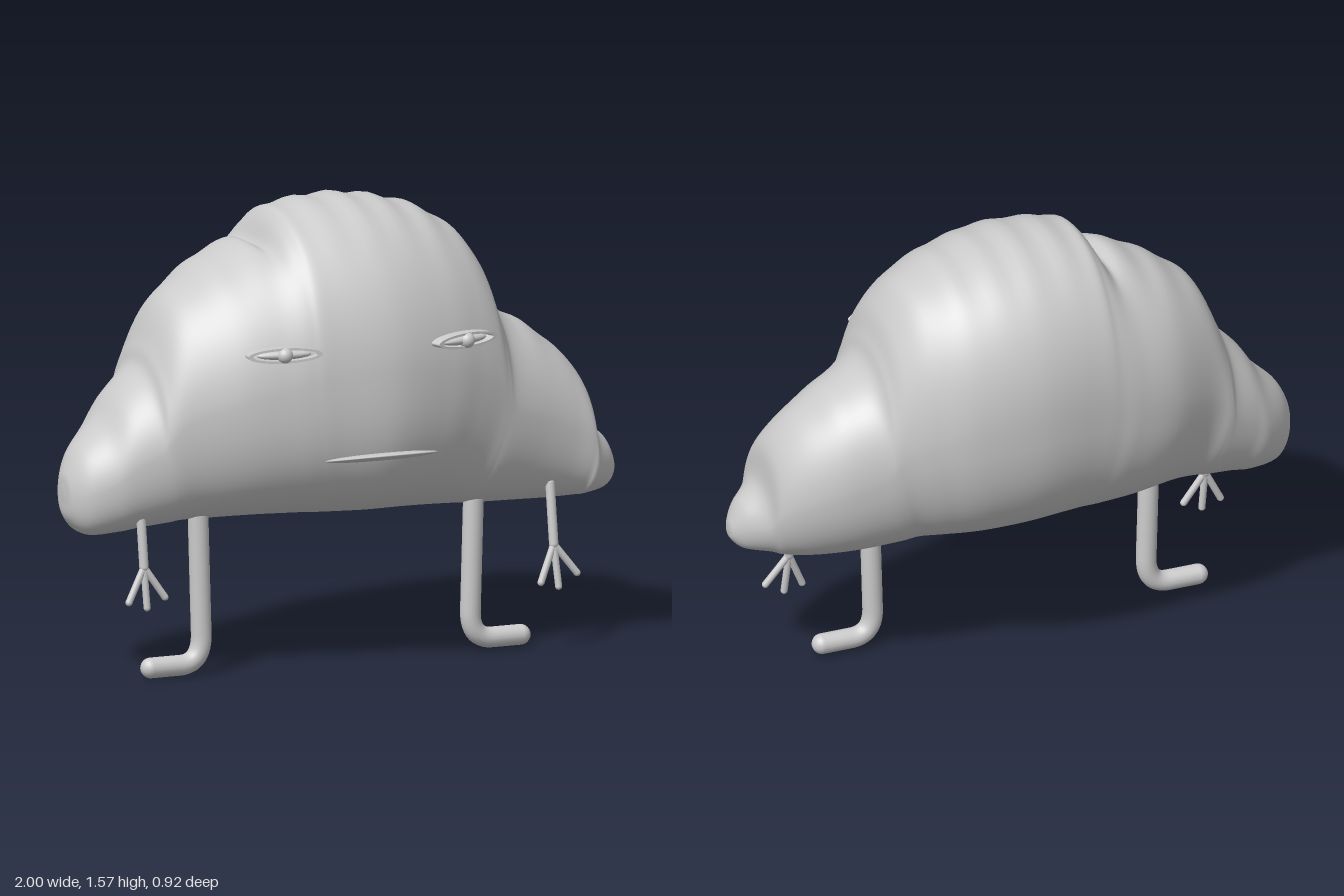
import * as THREE from 'three';

const material = new THREE.MeshStandardMaterial({ color: 0xcccccc });

function add(parent, name, geometry, position = [0, 0, 0]) {
  const mesh = new THREE.Mesh(geometry, material);
  mesh.name = name;
  mesh.position.set(...position);
  parent.add(mesh);
  return mesh;
}

// Body stations along x: x, top, bottom, front z, back z
const stations = [
  [-1.0, 0.67, 0.63, 0.01, -0.02], [-0.992, 0.72, 0.56, 0.06, -0.06],
  [-0.95, 0.80, 0.505, 0.115, -0.125], [-0.87, 0.88, 0.505, 0.16, -0.19],
  [-0.81, 0.97, 0.515, 0.185, -0.215], [-0.73, 1.05, 0.525, 0.215, -0.245],
  [-0.70, 1.13, 0.53, 0.23, -0.26], [-0.63, 1.27, 0.53, 0.255, -0.285],
  [-0.47, 1.39, 0.53, 0.325, -0.375], [-0.32, 1.46, 0.527, 0.362, -0.412],
  [-0.24, 1.52, 0.525, 0.378, -0.423],
  [-0.17, 1.56, 0.522, 0.388, -0.433], [0.06, 1.575, 0.517, 0.408, -0.458],
  [0.28, 1.53, 0.513, 0.365, -0.43], [0.41, 1.46, 0.51, 0.32, -0.37],
  [0.49, 1.37, 0.508, 0.29, -0.32], [0.53, 1.26, 0.506, 0.275, -0.302],
  [0.57, 1.17, 0.503, 0.262, -0.288], [0.70, 1.09, 0.497, 0.225, -0.255],
  [0.81, 1.0, 0.495, 0.2, -0.2], [0.88, 0.90, 0.5, 0.19, -0.14],
  [0.905, 0.76, 0.505, 0.18, -0.085], [0.965, 0.69, 0.52, 0.13, -0.02],
  [0.994, 0.63, 0.555, 0.09, 0.02], [1.0, 0.605, 0.585, 0.06, 0.04],
];

// Smooth skin lofted through egg-shaped cross-sections
function bodyGeometry(rows = 200, sides = 72) {
  const curve = (f) => new THREE.CatmullRomCurve3(stations.map(f), false, 'catmullrom', 0.5);
  const heights = curve((s) => new THREE.Vector3(s[0], s[1], s[2]));
  const depths = curve((s) => new THREE.Vector3(s[0], s[3], s[4]));
  const points = [], index = [];
  for (let i = 0; i <= rows; i++) {
    const h = heights.getPoint(i / rows), d = depths.getPoint(i / rows);
    const halfH = (h.y - h.z) / 2, halfD = (d.y - d.z) / 2;
    // short fold and soft ripples along the ridge
    const fold = 0.045 * Math.exp(-(((h.x + 0.28) / 0.028) ** 2));
    const ripple = 0.006 * Math.sin(h.x * 48) * (1 - h.x * h.x);
    for (let j = 0; j < sides; j++) {
      const a = (j / sides) * Math.PI * 2, c = Math.cos(a), s = Math.sin(a);
      const power = s < 0 ? 0.8 : 0.94; // fuller underside
      const up = Math.max(0, s), down = Math.max(0, -s);
      // lobes lean inwards towards the underside
      const lean = 0.12 * Math.sin(Math.PI * h.x) * down;
      points.push(
        h.x - lean,
        (h.y + h.z) / 2 + halfH * Math.sign(s) * Math.abs(s) ** power - fold * up ** 12 + ripple * up ** 5,
        (d.y + d.z) / 2 + halfD * (Math.sign(c) * Math.abs(c) ** power - 0.07 * s),
      );
      if (i < rows) {
        const k = (j + 1) % sides, p = i * sides, q = p + sides;
        index.push(p + j, q + j, p + k, q + j, q + k, p + k);
      }
    }
  }
  // end caps
  for (let j = 1; j < sides - 1; j++) {
    const e = rows * sides;
    index.push(0, j, j + 1, e, e + j + 1, e + j);
  }
  const g = new THREE.BufferGeometry();
  g.setAttribute('position', new THREE.Float32BufferAttribute(points, 3));
  g.setIndex(index);
  g.computeVertexNormals();
  return g;
}

// Straight round stick between two points
function stick(parent, name, from, to, radius) {
  const a = new THREE.Vector3(...from), b = new THREE.Vector3(...to);
  const dir = b.clone().sub(a);
  const mesh = add(parent, name, new THREE.CapsuleGeometry(radius, dir.length(), 6, 14));
  mesh.position.copy(a).add(b).multiplyScalar(0.5);
  mesh.quaternion.setFromUnitVectors(new THREE.Vector3(0, 1, 0), dir.normalize());
}

// Bent leg ending in an outward-pointing foot
function leg(name, side, x, z, end, footY) {
  const g = new THREE.Group();
  g.name = name;
  const knee = x - side * 0.012;
  const path = new THREE.CurvePath();
  const v = (px, py) => new THREE.Vector3(px, py, z);
  path.add(new THREE.LineCurve3(v(x, 0.56), v(knee, 0.14)));
  path.add(new THREE.QuadraticBezierCurve3(v(knee, 0.14), v(knee, footY), v(knee + side * 0.08, footY)));
  path.add(new THREE.LineCurve3(v(knee + side * 0.08, footY), v(end, footY)));
  add(g, 'legTube', new THREE.TubeGeometry(path, 60, 0.035, 18));
  add(g, 'toe', new THREE.SphereGeometry(0.035, 18, 12), [end, footY, z]);
  return g;
}

// Thin arm with three splayed fingers
function arm(name, shoulder, wrist, tips) {
  const g = new THREE.Group();
  g.name = name;
  stick(g, 'forearm', shoulder, wrist, 0.016);
  for (const tip of tips) stick(g, 'finger', wrist, tip, 0.012);
  return g;
}

// Narrow oval eye: rim, lens and pupil
function eye(name, position, turn) {
  const g = new THREE.Group();
  g.name = name;
  const rim = new THREE.Shape().absellipse(0, 0, 0.13, 0.026, 0, Math.PI * 2);
  rim.holes.push(new THREE.Path().absellipse(0, 0, 0.112, 0.018, 0, Math.PI * 2, true));
  const rimGeometry = new THREE.ExtrudeGeometry(rim, { depth: 0.04, bevelEnabled: false, curveSegments: 32 });
  add(g, 'eyeRim', rimGeometry, [0, 0, -0.02]);
  add(g, 'eyeLens', new THREE.SphereGeometry(1, 32, 16)).scale.set(0.095, 0.016, 0.022);
  add(g, 'pupil', new THREE.SphereGeometry(0.027, 20, 14), [0, 0, 0.012]);
  g.position.set(...position);
  g.rotation.y = turn;
  return g;
}

export function createModel() {
  const model = new THREE.Group();
  model.name = 'pastryCreature';
  add(model, 'body', bodyGeometry());

  model.add(eye('rightEye', [-0.345, 1.13, 0.352], -0.16));
  model.add(eye('leftEye', [0.315, 1.13, 0.366], 0.29));

  // Lip: thin tilted lens
  const mouth = add(model, 'mouth', new THREE.SphereGeometry(1, 40, 20), [0.012, 0.752, 0.355]);
  mouth.scale.set(0.205, 0.013, 0.105);
  mouth.rotation.x = -0.22;

  model.add(leg('rightLeg', -1, -0.545, 0.095, -0.72, 0.043));
  model.add(leg('leftLeg', 1, 0.463, 0.115, 0.635, 0.048));

  model.add(arm('rightArm', [-0.77, 0.58, 0.125], [-0.765, 0.4, 0.14],
    [[-0.825, 0.285, 0.15], [-0.758, 0.262, 0.15], [-0.692, 0.293, 0.15]]));
  model.add(arm('leftArm', [0.722, 0.57, 0.165], [0.722, 0.365, 0.195],
    [[0.668, 0.24, 0.21], [0.732, 0.222, 0.213], [0.802, 0.262, 0.208]]));
  return model;
}
